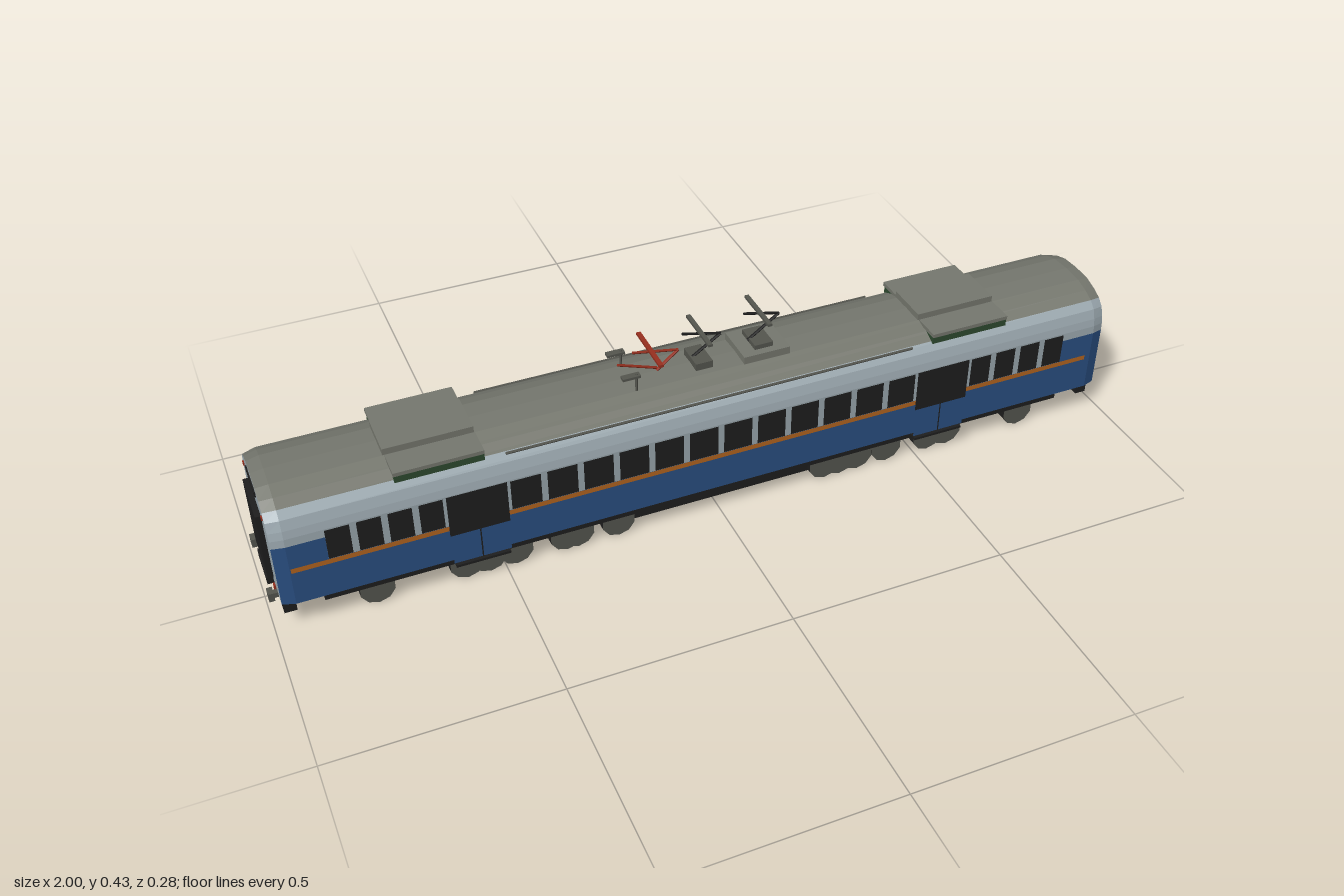
import * as THREE from 'three';

const mat = (name, color, side = THREE.FrontSide) => {
  const m = new THREE.MeshStandardMaterial({ color, side });
  m.name = name;
  m.flatShading = true;
  return m;
};

export function createModel() {
  const train = new THREE.Group();
  train.name = 'railcar';
  const blue = mat('blue paint', 0x2a4f82);
  const pale = mat('pale grey paint', 0x9ba8af);
  const roofGrey = mat('roof grey', 0x76786f);
  const black = mat('black', 0x1e1e1e);
  const steel = mat('dark steel', 0x55564f);
  const orange = mat('orange stripe', 0xb4651f);
  const red = mat('red', 0x98301f);
  const green = mat('dark green', 0x2e4a30);

  const add = (name, geo, m, parent = train) => {
    const mesh = new THREE.Mesh(geo, m);
    mesh.name = name;
    parent.add(mesh);
    return mesh;
  };
  // box given by its extents
  const box = (name, m, x0, x1, y0, y1, z0, z1, parent) => {
    const b = add(name, new THREE.BoxGeometry(x1 - x0, y1 - y0, z1 - z0), m, parent);
    b.position.set((x0 + x1) / 2, (y0 + y1) / 2, (z0 + z1) / 2);
    return b;
  };
  // round bar between two points
  const bar = (name, m, a, b, r, parent) => {
    const p = new THREE.Vector3(...a), q = new THREE.Vector3(...b);
    const d = q.clone().sub(p);
    const mesh = add(name, new THREE.CylinderGeometry(r, r, d.length(), 6), m, parent);
    mesh.position.copy(p).add(q).multiplyScalar(0.5);
    mesh.quaternion.setFromUnitVectors(new THREE.Vector3(0, 1, 0), d.normalize());
    return mesh;
  };

  // Body shell: strips of the cross-section lofted along x, narrowing at both ends
  const sections = [[-0.978, 0.935, 0.982], [-0.95, 1, 1], [0.945, 1, 1], [0.973, 0.935, 0.982]];
  const at = ([z, y], [x, sz, sy]) => [x, 0.082 + (y - 0.082) * sy, z * sz];
  const loft = (name, m, profile) => {
    const pos = [];
    for (let i = 0; i < sections.length - 1; i++) {
      for (let j = 0; j < profile.length - 1; j++) {
        const a = at(profile[j], sections[i]), b = at(profile[j], sections[i + 1]);
        const c = at(profile[j + 1], sections[i + 1]), d = at(profile[j + 1], sections[i]);
        pos.push(...a, ...b, ...c, ...a, ...c, ...d);
      }
    }
    const g = new THREE.BufferGeometry();
    g.setAttribute('position', new THREE.Float32BufferAttribute(pos, 3));
    g.computeVertexNormals();
    add(name, g, m);
  };
  const mirror = (p) => p.map(([z, y]) => [-z, y]).reverse();
  const lower = [[0.137, 0.082], [0.137, 0.235]];
  const upper = [[0.137, 0.235], [0.136, 0.254], [0.132, 0.272], [0.124, 0.294], [0.108, 0.31]];
  const halfRoof = [[0.108, 0.31], [0.083, 0.322], [0.05, 0.332], [0, 0.335]];
  const roof = [...halfRoof, ...mirror(halfRoof).slice(1)];
  loft('lowerSideLeft', blue, lower);
  loft('lowerSideRight', blue, mirror(lower));
  loft('upperSideLeft', pale, upper);
  loft('upperSideRight', pale, mirror(upper));
  loft('roof', roofGrey, roof);
  loft('floor', black, [[-0.137, 0.082], [0.137, 0.082]]);

  // End walls with gangway, destination panel, lamps and buffers
  const outline = [[0.137, 0.082], ...upper, ...roof.slice(1), ...mirror(upper).slice(1), [-0.137, 0.082]];
  for (const s of [-1, 1]) {
    const end = new THREE.Group();
    end.name = s > 0 ? 'leftEnd' : 'rightEnd';
    train.add(end);
    const sec = s > 0 ? sections[3] : sections[0];
    const shape = new THREE.Shape(outline.map((p) => {
      const [, y, z] = at(p, sec);
      return new THREE.Vector2(-s * z, y);
    }));
    const wall = add('endWall', new THREE.ShapeGeometry(shape), pale, end);
    wall.rotation.y = s * Math.PI / 2;
    wall.position.x = sec[0];
    const ebox = (n, m, d0, d1, ...r) => {
      const xs = [sec[0] + s * d0, sec[0] + s * d1].sort((a, b) => a - b);
      box(n, m, ...xs, ...r, end);
    };
    ebox('gangwayDoor', black, -0.005, 0.012, 0.105, 0.27, -0.065, 0.065);
    ebox('gangwayFootplate', black, -0.01, 0.014, 0.074, 0.093, -0.048, 0.048);
    ebox('destinationPanel', black, 0, 0.003, 0.305, 0.317, -0.047, 0.047);
    ebox('headstock', black, -0.03, -0.003, 0.042, 0.082, -0.112, 0.112);
    for (const t of [-1, 1]) {
      ebox('tailLamp', red, 0, 0.003, 0.284, 0.292, t * 0.094 - 0.004, t * 0.094 + 0.004);
      ebox('hoseTap', red, -0.005, 0.004, 0.066, 0.081, t * 0.06 - 0.005, t * 0.06 + 0.005);
      ebox('bufferHead', steel, 0.009, 0.021, 0.072, 0.093, t * 0.09 - 0.011, t * 0.09 + 0.011);
      ebox('bufferStem', steel, -0.01, 0.01, 0.076, 0.088, t * 0.09 - 0.006, t * 0.09 + 0.006);
    }
  }
  box('couplerShank', black, 0.95, 0.985, 0.046, 0.06, -0.01, 0.01);
  box('couplerHead', black, 0.98, 1, 0.036, 0.06, -0.014, 0.014);

  // Sides: window band, windows, stripe, doors and steps
  const doors = [[-0.62, -0.49], [0.476, 0.608]];
  for (const s of [-1, 1]) {
    const side = new THREE.Group();
    side.name = s > 0 ? 'frontSide' : 'backSide';
    train.add(side);
    const plate = (n, m, x0, x1, y0, y1, z = 0.1385) => {
      const g = new THREE.PlaneGeometry(x1 - x0, y1 - y0);
      const p = add(n, g, m, side);
      p.position.set((x0 + x1) / 2, (y0 + y1) / 2, s * z);
      if (s < 0) p.rotation.y = Math.PI;
    };
    plate('windowBand', pale, -0.87, 0.86, 0.177, 0.256, 0.1378);
    plate('stripe', orange, -0.948, 0.93, 0.165, 0.177);
    const windowRow = (x0, x1, n) => {
      const w = (x1 - x0) / n;
      for (let i = 0; i < n; i++) plate('window', black, x0 + i * w + 0.007, x0 + (i + 1) * w - 0.007, 0.178, 0.253);
    };
    windowRow(-0.877, -0.62, 4);
    windowRow(-0.49, 0.476, 12);
    windowRow(0.608, 0.867, 4);
    for (const [x0, x1] of doors) {
      plate('doorGlass', black, x0, x1, 0.15, 0.255, 0.1392);
      plate('doorPanel', blue, x0 + 0.002, x1 - 0.002, 0.074, 0.15, 0.1392);
      plate('doorSeam', black, (x0 + x1) / 2 - 0.0015, (x0 + x1) / 2 + 0.0015, 0.074, 0.15, 0.1396);
      const z = [s * 0.1, s * 0.142].sort((a, b) => a - b);
      box('doorStep', black, x0 + 0.005, x1 - 0.005, 0.063, 0.069, ...z, side);
    }
    // Rain gutter
    bar('gutter', steel, [-0.48, 0.308, s * 0.113], [0.47, 0.308, s * 0.113], 0.003, side);
  }

  // Roof equipment pods
  for (const [x0, x1] of [[-0.72, -0.525], [0.515, 0.71]]) {
    box('podBase', green, x0 + 0.006, x1, 0.307, 0.325, -0.115, 0.115);
    box('podCover', roofGrey, x0 + 0.004, x1, 0.325, 0.334, -0.118, 0.118);
    box('podLid', roofGrey, x0, x1 - 0.002, 0.334, 0.349, -0.052, 0.052);
  }

  // Current collectors: Z-shaped arms with a cross bar
  const collector = (name, m, foot, elbow, tip, headX, headY, halfW) => {
    const g = new THREE.Group();
    g.name = name;
    train.add(g);
    bar('lowerArm', m, [...foot, 0], [...elbow, 0], 0.0035, g);
    bar('upperArm', m, [...elbow, 0], [...tip, 0], 0.003, g);
    const k = (headX - elbow[0]) / (tip[0] - elbow[0]);
    bar('headPost', m, [headX, elbow[1] + k * (tip[1] - elbow[1]), 0], [headX, headY, 0], 0.002, g);
    box('headBar', m === red ? red : steel, headX - 0.005, headX + 0.005, headY - 0.003, headY + 0.003, -halfW, halfW, g);
  };
  collector('redCollector', red, [-0.1, 0.335], [-0.05, 0.376], [-0.155, 0.396], -0.115, 0.394, 0.067);
  collector('middleCollector', black, [-0.02, 0.345], [0.05, 0.392], [-0.04, 0.414], 0, 0.412, 0.062);
  collector('leftCollector', black, [0.115, 0.355], [0.19, 0.408], [0.105, 0.428], 0.14, 0.427, 0.062);
  bar('redLowerLink', red, [-0.19, 0.374], [-0.1, 0.342], 0.003);
  box('middleCollectorBase', steel, -0.022, 0.018, 0.33, 0.35, -0.034, 0.034);
  box('leftCollectorPlinth', roofGrey, 0.085, 0.195, 0.332, 0.35, -0.052, 0.052);
  box('leftCollectorBase', steel, 0.118, 0.162, 0.35, 0.361, -0.034, 0.034);
  for (const t of [-1, 1]) {
    bar('insulator', steel, [-0.165, 0.325, t * 0.047], [-0.165, 0.376, t * 0.047], 0.003);
    box('insulatorCap', steel, -0.198, -0.157, 0.368, 0.374, t * 0.047 - 0.008, t * 0.047 + 0.008);
  }

  // Underframe, bogie beams and wheels
  box('underframe', black, -0.89, 0.88, 0.05, 0.076, -0.09, 0.09);
  box('equipmentBox', black, -0.2, 0.25, 0.024, 0.08, -0.1, 0.1);
  for (const t of [-1, 1]) {
    box('sideBeam', black, -0.89, 0.88, 0.05, 0.074, t * 0.105 - 0.01, t * 0.105 + 0.01);
    box('crossBeam', black, t * 0.45 - 0.25, t * 0.45 + 0.25, 0.032, 0.055, -0.03, 0.03);
  }
  const wheelGeo = new THREE.CylinderGeometry(0.039, 0.039, 0.036, 10);
  wheelGeo.rotateX(Math.PI / 2);
  const axles = [-0.78, -0.585, -0.535, -0.475, -0.36, -0.335, -0.24, 0.265, 0.305, 0.35, 0.425, 0.535, 0.585, 0.78];
  axles.forEach((x) => {
    for (const t of [-1, 1]) {
      add('wheel', wheelGeo, [black, steel, steel]).position.set(x, 0.039, t * 0.094);
    }
    bar('axle', black, [x, 0.039, -0.08], [x, 0.039, 0.08], 0.008);
  });
  return train;
}
